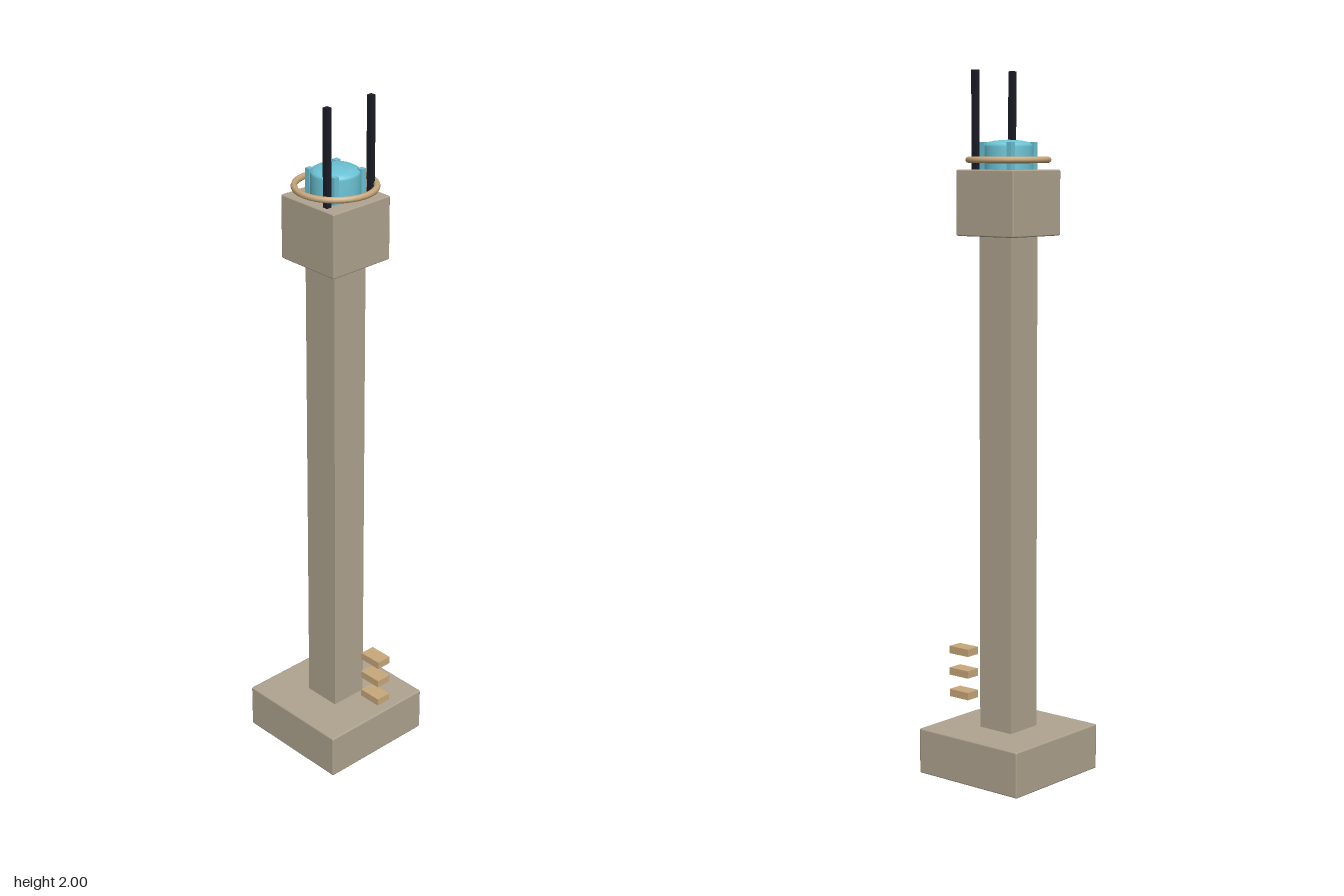
import * as THREE from 'three';
import { RoundedBoxGeometry } from 'three/addons/geometries/RoundedBoxGeometry.js';

const material = (name, color) => {
  const m = new THREE.MeshStandardMaterial({ color });
  m.name = name;
  return m;
};

export function createModel() {
  const tower = new THREE.Group();
  tower.name = 'tower';
  const stone = material('stone', 0xb0a490);
  const tan = material('tan', 0xc9a97c);
  const blue = material('light blue', 0x6cc3d6);
  const dark = material('dark', 0x1c1c28);
  const axis = -0.0125; // the tower stands slightly right of the model centre

  const add = (name, geometry, mat, x, y, z = 0) => {
    const mesh = new THREE.Mesh(geometry, mat);
    mesh.name = name;
    mesh.position.set(x, y, z);
    tower.add(mesh);
    return mesh;
  };
  const block = (name, width, bottom, top, radius) => add(name,
    new RoundedBoxGeometry(width, top - bottom, width, 1, radius), stone, axis, (bottom + top) / 2);

  // Stone masonry
  block('base', 0.364, 0, 0.133, 0.005);
  add('column', new THREE.BoxGeometry(0.115, 1.45, 0.115), stone, axis, 0.84);
  block('head', 0.207, 1.545, 1.728, 0.004);

  // Lantern drum with a shallow rounded cap
  const profile = [[0.069, 0], [0.069, 0.066], [0.066, 0.073], [0.056, 0.079], [0.035, 0.083], [0, 0.085]];
  add('lantern', new THREE.LatheGeometry(
    profile.map(([r, y]) => new THREE.Vector2(r, y)), 24), blue, axis, 1.725);

  // Four posts on the lantern's diagonals
  for (const sx of [-1, 1]) for (const sz of [-1, 1]) {
    add('lanternPost', new THREE.BoxGeometry(0.016, 0.078, 0.016), blue,
      axis + sx * 0.049, 1.765, sz * 0.049);
  }

  // Gallery rail
  const rail = add('galleryRail', new THREE.TorusGeometry(0.111, 0.009, 8, 32), tan, axis, 1.755);
  rail.rotation.x = Math.PI / 2;

  // Twin masts
  for (const z of [-0.079, 0.079]) {
    add('mast', new THREE.BoxGeometry(0.016, 0.275, 0.016), dark, 0.04, 1.8625, z);
  }

  // Floating steps beside the column
  for (let i = 0; i < 3; i++) {
    add('step', new THREE.BoxGeometry(0.071, 0.022, 0.046), tan, 0.158, 0.2 + i * 0.065);
  }
  return tower;
}
